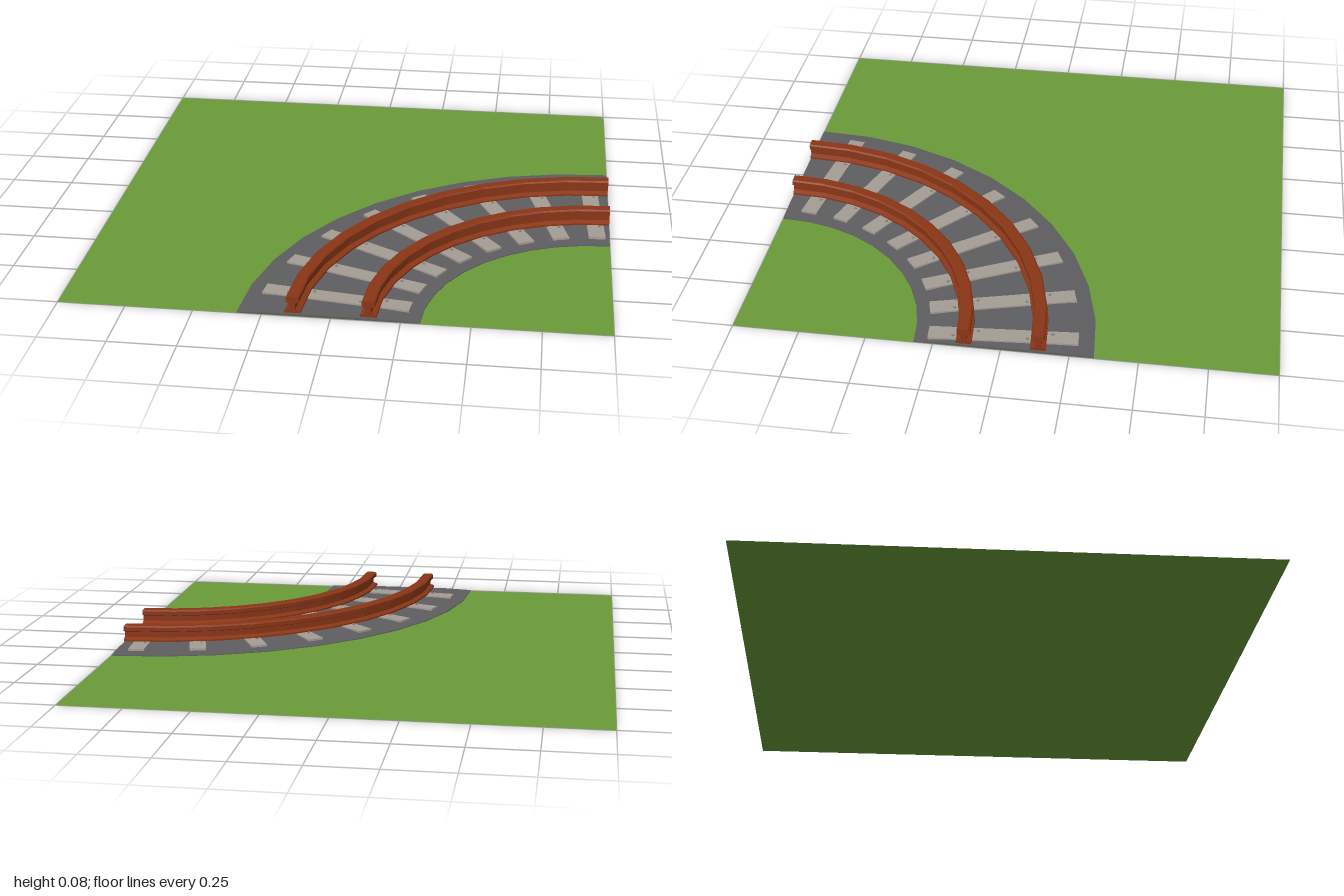
import * as THREE from 'three';

const mat = (color, extra = {}) => new THREE.MeshStandardMaterial({ color, flatShading: true, ...extra });

// Sweeps a closed counter-clockwise (radius, height) profile through a quarter turn, with end caps.
function quarterSweep(name, profile, color, segments = 10) {
  const group = new THREE.Group();
  group.name = name;
  const pts = profile.map(([r, y]) => new THREE.Vector2(r, y));
  const body = new THREE.Mesh(
    new THREE.LatheGeometry([...pts, pts[0].clone()], segments, Math.PI, Math.PI / 2), mat(color));
  body.name = name + 'Body';
  group.add(body);
  for (const turn of [Math.PI / 2, Math.PI]) {
    const cap = new THREE.Mesh(
      new THREE.ShapeGeometry(new THREE.Shape(pts)), mat(color, { side: THREE.DoubleSide }));
    cap.name = name + 'End';
    cap.rotation.y = turn;
    group.add(cap);
  }
  return group;
}

// Rail section: wide foot, narrow web, broad head
function railProfile(radius) {
  const half = [[0.029, 0.014], [0.029, 0.021], [0.011, 0.029], [0.011, 0.052],
    [0.024, 0.057], [0.024, 0.073], [0.018, 0.078]];
  const outer = half.map(([x, y]) => [radius + x, y]);
  const inner = half.map(([x, y]) => [radius - x, y]).reverse();
  return [...outer, ...inner];
}

export function createModel() {
  const model = new THREE.Group();
  model.name = 'curvedTrack';

  // Ground
  const grass = new THREE.Mesh(new THREE.PlaneGeometry(2, 2), mat(0x6a9a38, { side: THREE.DoubleSide }));
  grass.name = 'grass';
  grass.rotation.x = -Math.PI / 2;
  model.add(grass);

  // Everything else turns about the front left corner
  const track = new THREE.Group();
  track.name = 'track';
  track.position.set(1, 0, 1);
  model.add(track);

  // Gravel bed with sloped shoulders
  track.add(quarterSweep('gravel',
    [[0.68, 0.001], [1.34, 0.001], [1.34, 0.004], [1.22, 0.009], [0.8, 0.009], [0.68, 0.004]], 0x5e5e60));

  // Rails
  const railRadii = [0.865, 1.137];
  railRadii.forEach((r, i) =>
    track.add(quarterSweep(i ? 'outerRail' : 'innerRail', railProfile(r), 0x8a3616)));

  // Sleepers with spikes on both sides of each rail
  const sleeperGeo = new THREE.BoxGeometry(0.066, 0.012, 0.55);
  const spikeGeo = new THREE.CylinderGeometry(0.006, 0.006, 0.004, 6);
  const sleeperMat = mat(0xa39d95);
  const spikeMat = mat(0x8a807a);
  for (let i = 0; i < 8; i++) {
    const sleeper = new THREE.Group();
    sleeper.name = 'sleeper';
    sleeper.rotation.y = THREE.MathUtils.degToRad(3.8 + 11.23 * i);
    const plank = new THREE.Mesh(sleeperGeo, sleeperMat);
    plank.name = 'plank';
    plank.position.set(0, 0.009, -1.003);
    sleeper.add(plank);
    for (const r of railRadii) for (const s of [-1, 1]) {
      const spike = new THREE.Mesh(spikeGeo, spikeMat);
      spike.name = 'spike';
      spike.position.set(s * 0.015, 0.016, -r + s * 0.045);
      sleeper.add(spike);
    }
    track.add(sleeper);
  }
  return model;
}
